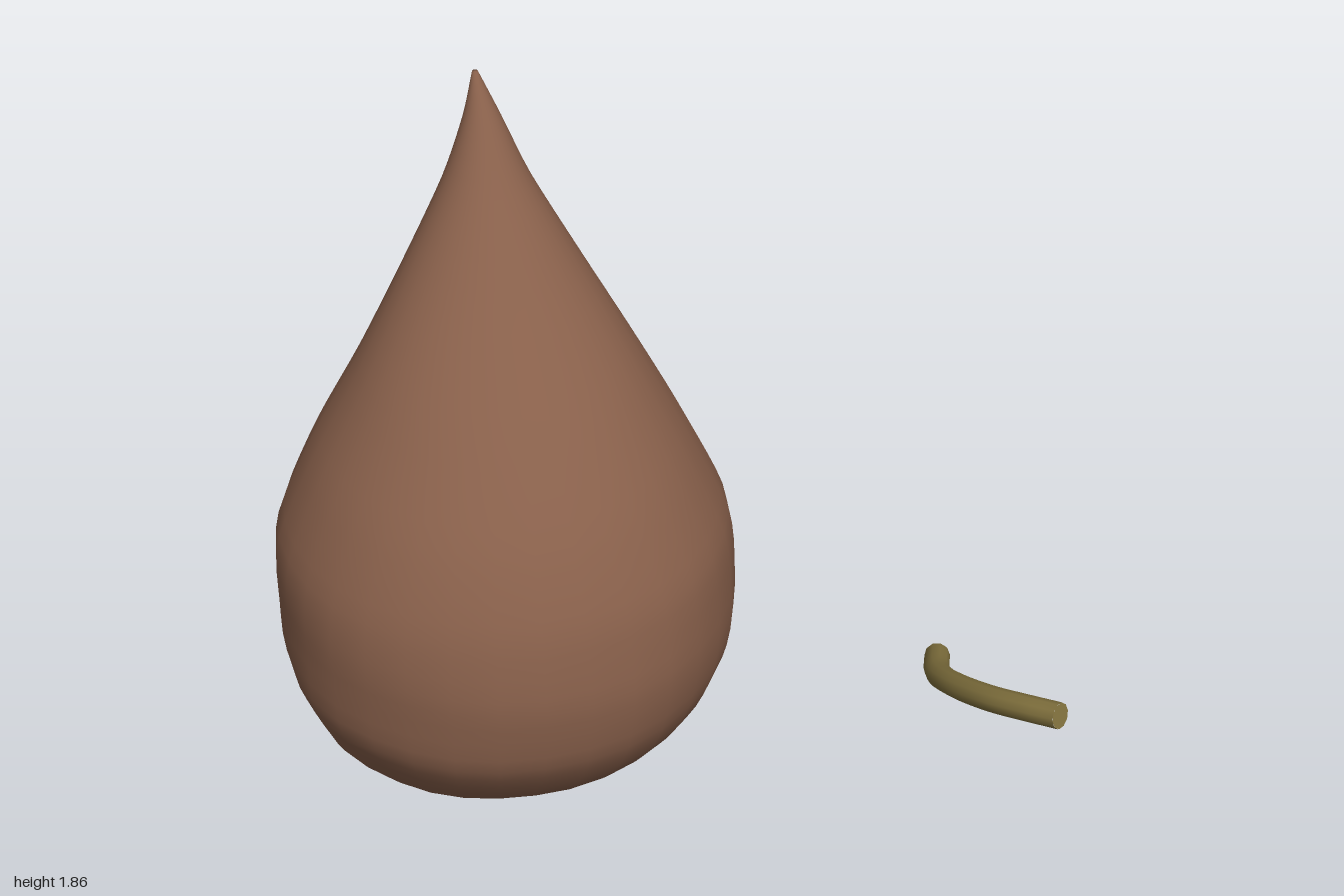
import * as THREE from 'three';

// Drop outline per level: y, left x, right x, back z, front z
const LEVELS = [
  [0.0, -0.45, -0.25, -0.18, -0.03],
  [0.02, -0.6, -0.18, -0.22, 0.1],
  [0.1, -0.78, 0.0, -0.38, 0.31],
  [0.2, -0.9, 0.11, -0.47, 0.44],
  [0.4, -0.98, 0.195, -0.565, 0.575],
  [0.6, -0.997, 0.22, -0.615, 0.6],
  [0.8, -0.98, 0.2, -0.595, 0.565],
  [1.0, -0.88, 0.11, -0.56, 0.455],
  [1.2, -0.74, 0.0, -0.52, 0.255],
  [1.4, -0.6, -0.12, -0.49, -0.02],
  [1.6, -0.47, -0.235, -0.48, -0.24],
  [1.75, -0.4, -0.3, -0.475, -0.37],
  [1.86, -0.365, -0.35, -0.472, -0.457],
];
const SIDES = 32, STEPS = 4;

// Smooth the level values with two curves sharing one parameter
function rings() {
  const a = new THREE.CatmullRomCurve3(LEVELS.map(l => new THREE.Vector3(l[0], l[1], l[2])), false, 'catmullrom', 0.4);
  const b = new THREE.CatmullRomCurve3(LEVELS.map(l => new THREE.Vector3(l[0], l[3], l[4])), false, 'catmullrom', 0.4);
  const n = (LEVELS.length - 1) * STEPS, out = [];
  for (let i = 0; i <= n; i++) {
    const p = a.getPoint(i / n), q = b.getPoint(i / n);
    out.push({
      y: Math.max(0, p.x),
      cx: (p.y + p.z) / 2, rx: (p.z - p.y) / 2,
      cz: (q.y + q.z) / 2, rz: (q.z - q.y) / 2,
    });
  }
  return out;
}

// Lofted drop with shallow, hand-worked dents around the lower half
function dropGeometry() {
  const loops = rings(), pos = [], idx = [];
  for (const { y, cx, rx, cz, rz } of loops) {
    const rough = 0.008 * THREE.MathUtils.smoothstep(1.1 - y, 0, 0.6);
    for (let j = 0; j < SIDES; j++) {
      const t = (j / SIDES) * Math.PI * 2;
      const k = 1 + rough * (Math.sin(5 * t + 9 * y) * Math.cos(3 * t - 14 * y));
      pos.push(cx + rx * k * Math.sin(t), y, cz + rz * k * Math.cos(t));
    }
  }
  for (let i = 0; i < loops.length - 1; i++) {
    for (let j = 0; j < SIDES; j++) {
      const a = i * SIDES + j, b = i * SIDES + (j + 1) % SIDES;
      idx.push(a, b, b + SIDES, a, b + SIDES, a + SIDES);
    }
  }
  // Close the base and the tip
  [0, loops.length - 1].forEach((i, top) => {
    const c = pos.length / 3, l = loops[i];
    pos.push(l.cx, l.y, l.cz);
    for (let j = 0; j < SIDES; j++) {
      const a = i * SIDES + j, b = i * SIDES + (j + 1) % SIDES;
      if (top) idx.push(c, a, b); else idx.push(c, b, a);
    }
  });
  const g = new THREE.BufferGeometry();
  g.setAttribute('position', new THREE.Float32BufferAttribute(pos, 3));
  g.setIndex(idx);
  g.computeVertexNormals();
  return g;
}

export function createModel() {
  const model = new THREE.Group();
  const brown = new THREE.MeshStandardMaterial({ color: 0x875f4a });
  brown.name = 'warm brown';
  const olive = new THREE.MeshStandardMaterial({ color: 0x83733f });
  olive.name = 'olive';

  const drop = new THREE.Mesh(dropGeometry(), brown);
  drop.name = 'dropBody';
  model.add(drop);

  // Loose curved stem lying beside the drop
  const stem = new THREE.Group();
  stem.name = 'stem';
  const path = new THREE.CatmullRomCurve3([
    [0.835, 0.11, -0.015], [0.795, 0.16, 0.12], [0.8, 0.22, 0.25],
    [0.85, 0.29, 0.41], [0.91, 0.33, 0.51], [0.978, 0.358, 0.595],
  ].map(p => new THREE.Vector3(...p)));
  const radius = 0.036;
  const stalk = new THREE.Mesh(new THREE.TubeGeometry(path, 20, radius, 10), olive);
  stalk.name = 'stalk';
  stem.add(stalk);

  // Flat ends facing outwards
  for (const [t, dir] of [[0, -1], [1, 1]]) {
    const cap = new THREE.Mesh(new THREE.CircleGeometry(radius, 10), olive);
    cap.name = 'stalkEnd';
    cap.position.copy(path.getPoint(t));
    cap.quaternion.setFromUnitVectors(new THREE.Vector3(0, 0, 1), path.getTangent(t).multiplyScalar(dir));
    stem.add(cap);
  }
  model.add(stem);
  return model;
}
